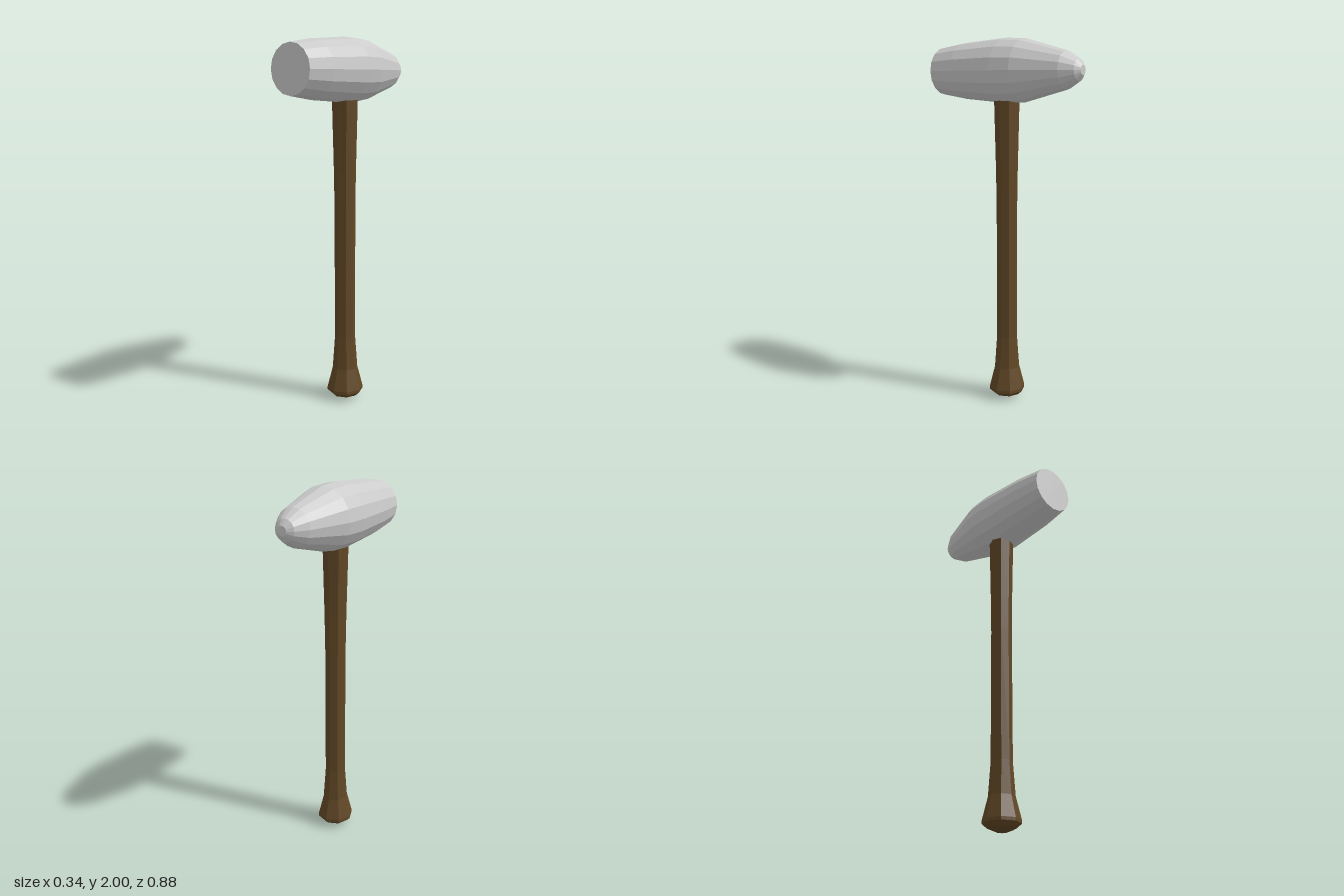
import * as THREE from 'three';

// Faceted solid of revolution around y; profile is [radius, y] from bottom to top
function turned(name, profile, sides, color) {
  const points = profile.map(([r, y]) => new THREE.Vector2(r, y));
  const material = new THREE.MeshStandardMaterial({ color, flatShading: true });
  const mesh = new THREE.Mesh(new THREE.LatheGeometry(points, sides), material);
  mesh.name = name;
  return mesh;
}

export function createModel() {
  const group = new THREE.Group();
  group.name = 'hammer';

  // Octagonal wooden handle with a flared, rounded butt
  const handle = turned('handle', [
    [0, 0], [0.03, 0.004], [0.075, 0.022], [0.1, 0.045], [0.1, 0.062],
    [0.07, 0.18], [0.057, 0.36], [0.057, 1.1], [0.06, 1.3], [0.069, 1.68],
    [0.069, 1.75], [0, 1.75],
  ], 8, 0x624826);
  handle.position.z = 0.02;

  // Sixteen-sided head: flat striking face at +z, tapered nose at -z
  const head = turned('head', [
    [0, -0.442], [0.025, -0.442], [0.056, -0.42], [0.098, -0.35],
    [0.164, -0.1], [0.17, 0.02], [0.151, 0.29], [0.129, 0.442], [0, 0.442],
  ], 16, 0xcccccc);
  head.rotation.x = Math.PI / 2;
  head.position.y = 1.83;

  group.add(handle, head);
  return group;
}
